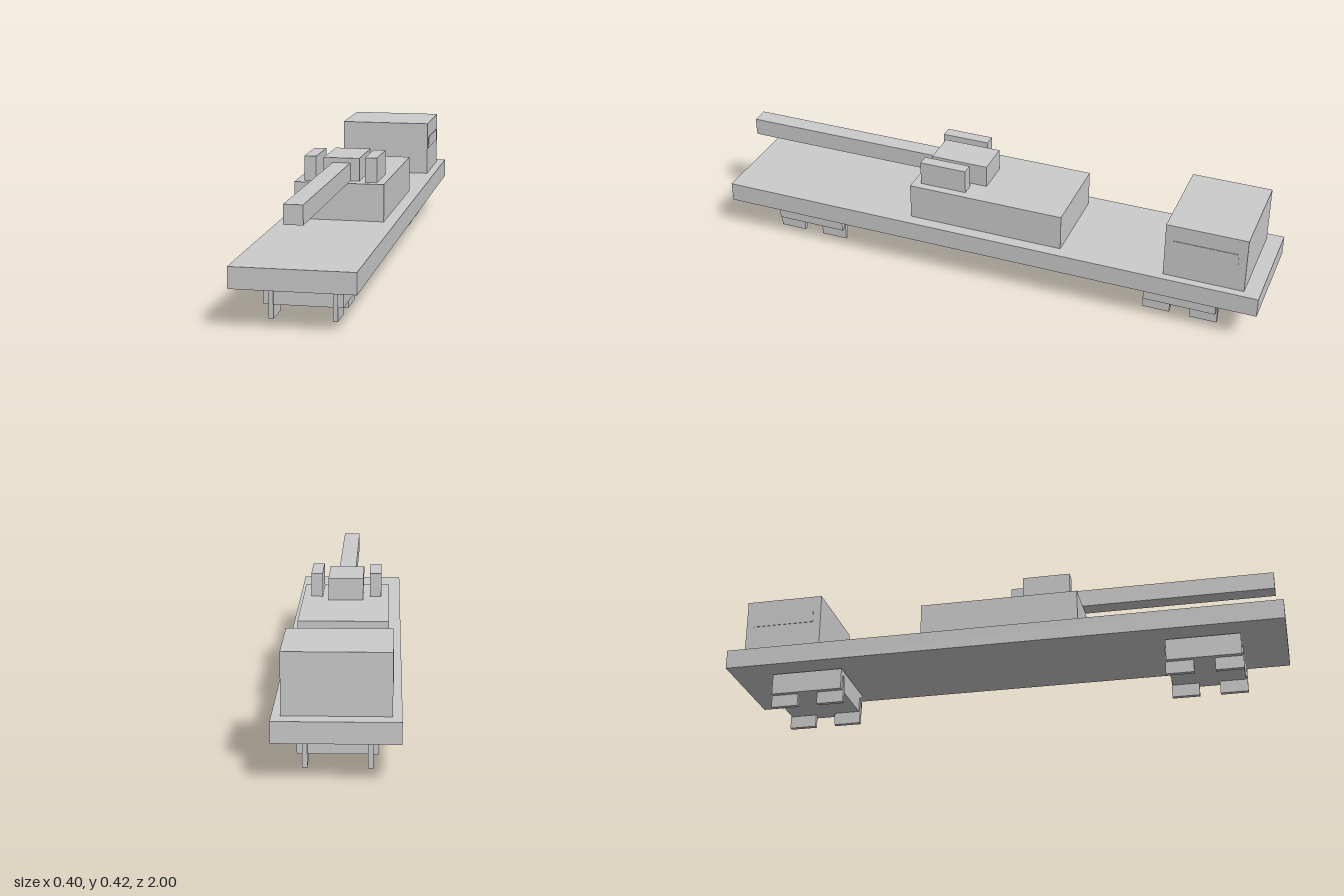
import * as THREE from 'three';

const material = new THREE.MeshStandardMaterial({ color: 0xcccccc, flatShading: true });

// Box given by its [min, max] extents along each axis
function box(parent, name, [x0, x1], [y0, y1], [z0, z1]) {
  const mesh = new THREE.Mesh(new THREE.BoxGeometry(x1 - x0, y1 - y0, z1 - z0), material);
  mesh.position.set((x0 + x1) / 2, (y0 + y1) / 2, (z0 + z1) / 2);
  mesh.name = name;
  parent.add(mesh);
  return mesh;
}

// Box centred at x with a given width
const span = (centre, size) => [centre - size / 2, centre + size / 2];

// Wheel truck: a frame with two block wheels per side
function createTruck(name, z) {
  const truck = new THREE.Group();
  truck.name = name;
  box(truck, 'truckFrame', span(0, 0.256), [0.045, 0.122], span(0, 0.26));
  for (const side of [-1, 1]) {
    for (const end of [-1, 1]) {
      box(truck, 'wheel', span(side * 0.103, 0.016), [0, 0.1], span(end * 0.0855, 0.098));
    }
  }
  truck.position.z = z;
  return truck;
}

export function createModel() {
  const model = new THREE.Group();
  model.name = 'railCraneWagon';

  // Flat deck and the two trucks beneath it
  box(model, 'deck', span(0, 0.4), [0.13, 0.2], [-1, 1]);
  model.add(createTruck('frontTruck', 0.715), createTruck('rearTruck', -0.715));

  // Rear cab with a thin window panel on each side
  const cab = new THREE.Group();
  cab.name = 'cab';
  box(cab, 'cabBody', span(0, 0.342), [0.2, 0.402], [-0.944, -0.661]);
  for (const side of [-1, 1]) {
    box(cab, 'sideWindow', span(side * 0.167, 0.012), [0.3, 0.343], span(-0.802, 0.226));
  }
  model.add(cab);

  // Raised base, turret, side plates and long forward boom
  box(model, 'turretBase', span(0, 0.314), [0.2, 0.33], span(0, 0.57));
  const turret = new THREE.Group();
  turret.name = 'turret';
  box(turret, 'turretBody', span(0, 0.126), [0.33, 0.41], [0.029, 0.238]);
  box(turret, 'boom', span(0, 0.062), [0.33, 0.393], [0.238, 0.972]);
  for (const side of [-1, 1]) {
    box(turret, 'sidePlate', span(side * 0.107, 0.042), [0.33, 0.416], [0.084, 0.255]);
  }
  model.add(turret);

  return model;
}
